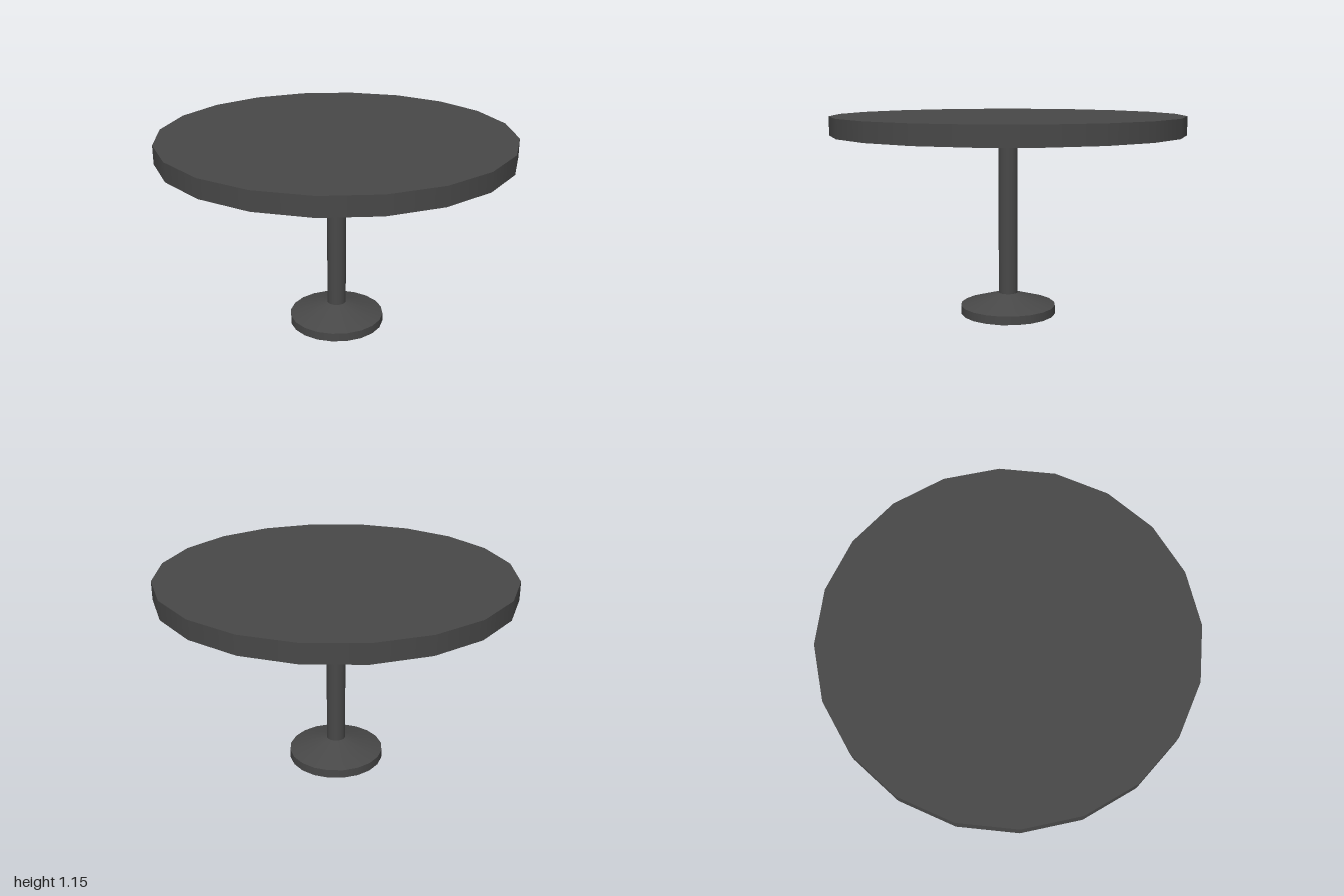
import * as THREE from 'three';

const SIDES = 20;

export function createModel() {
  const model = new THREE.Group();
  model.name = 'pedestalTable';
  const material = new THREE.MeshStandardMaterial({ color: 0x484848 });

  // Round section standing between two heights
  function addRound(name, topRadius, bottomRadius, y0, y1, open = false) {
    const geometry = new THREE.CylinderGeometry(topRadius, bottomRadius, y1 - y0, SIDES, 1, open);
    const mesh = new THREE.Mesh(geometry, material);
    mesh.name = name;
    mesh.position.y = (y0 + y1) / 2;
    model.add(mesh);
  }

  // Foot: flat disc with a sloped cover
  addRound('baseDisc', 0.277, 0.277, 0, 0.05);
  addRound('baseSlope', 0.055, 0.277, 0.05, 0.12, true);

  // Central post
  addRound('column', 0.055, 0.055, 0.12, 1.05, true);

  // Round top
  addRound('tableTop', 1, 1, 1.05, 1.155);

  return model;
}
